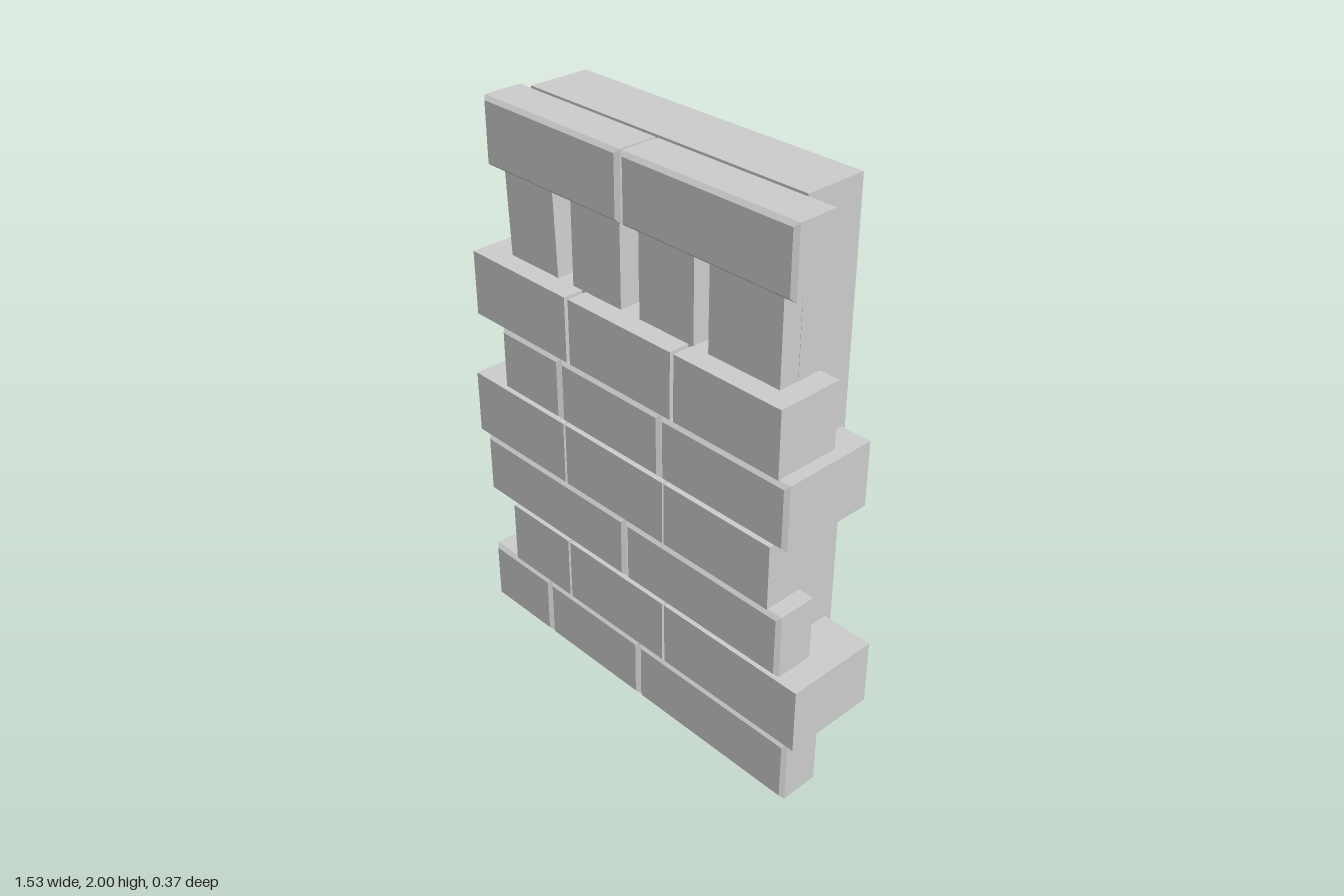
import * as THREE from 'three';

const FRONT = 0.185;
const BEVEL = 0.013;
const material = new THREE.MeshStandardMaterial({ color: 0xcccccc, flatShading: true });

// Box between two corners; an optional bevel narrows the front rim
function block(name, x0, x1, y0, y1, z0, z1, bevel = 0) {
  const w = x1 - x0, h = y1 - y0, d = z1 - z0;
  const geo = new THREE.BoxGeometry(w, h, d, 1, 1, bevel ? 2 : 1);
  if (bevel) {
    const p = geo.attributes.position;
    for (let i = 0; i < p.count; i++) {
      const z = p.getZ(i);
      if (Math.abs(z) < 1e-6) {
        p.setZ(i, d / 2 - bevel); // middle ring becomes the bevel's start
      } else if (z > 0) {
        p.setX(i, p.getX(i) - Math.sign(p.getX(i)) * bevel);
        p.setY(i, p.getY(i) - Math.sign(p.getY(i)) * bevel);
      }
    }
    geo.computeVertexNormals();
  }
  const mesh = new THREE.Mesh(geo, material);
  mesh.name = name;
  mesh.position.set((x0 + x1) / 2, (y0 + y1) / 2, (z0 + z1) / 2);
  return mesh;
}

// Courses from the bottom up: height range, bevelled or plain,
// and bricks as [x from, x to, z of the back]
const COURSES = [
  { y: [0, 0.233], bevel: true, bricks: [[-0.735, -0.42, -0.045], [-0.418, 0.05, 0], [0.052, 0.73, 0.033]] },
  { y: [0.241, 0.476], bevel: false, bricks: [[-0.603, -0.303, 0], [-0.293, 0.172, 0], [0.182, 0.763, -0.157]] },
  { y: [0.482, 0.715], bevel: true, bricks: [[-0.735, -0.012, -0.045], [-0.005, 0.68, 0.033]] },
  { y: [0.724, 0.955], bevel: false, bricks: [[-0.768, -0.303, -0.045], [-0.293, 0.172, 0], [0.18, 0.63, 0.033]] },
  { y: [0.961, 1.192], bevel: true, bricks: [[-0.612, -0.313, 0], [-0.31, 0.158, 0], [0.161, 0.687, -0.173]] },
  { y: [1.2, 1.432], bevel: false, bricks: [[-0.736, -0.272, -0.045], [-0.255, 0.207, 0], [0.222, 0.651, -0.055]] },
  { y: [1.763, 1.992], bevel: true, bricks: [[-0.632, -0.012, 0.033], [-0.003, 0.674, 0.033]] },
];

// Upright bricks: [x from, x to, lean]
const UPRIGHTS = [[-0.632, -0.398, 0.045], [-0.315, -0.09, 0], [-0.005, 0.228, 0], [0.29, 0.575, 0]];

export function createModel() {
  const wall = new THREE.Group();
  wall.name = 'brickWall';

  // Solid core behind the brick facing
  wall.add(block('backingSlab', -0.576, 0.576, 0, 2, -0.187, 0.035));

  // Horizontal courses
  COURSES.forEach(({ y, bevel, bricks }, i) => {
    const course = new THREE.Group();
    course.name = `course${i + 1}`;
    bricks.forEach(([x0, x1, back], j) =>
      course.add(block(`brick${j + 1}`, x0, x1, y[0], y[1], back, FRONT, bevel ? BEVEL : 0)));
    wall.add(course);
  });

  // Recessed row of upright bricks, the first one leaning
  const uprights = new THREE.Group();
  uprights.name = 'uprightBricks';
  UPRIGHTS.forEach(([x0, x1, lean], i) => {
    const brick = block(`upright${i + 1}`, x0, x1, 1.39, 1.86, -0.045, 0.11);
    brick.rotation.z = lean;
    uprights.add(brick);
  });
  wall.add(uprights);

  return wall;
}
